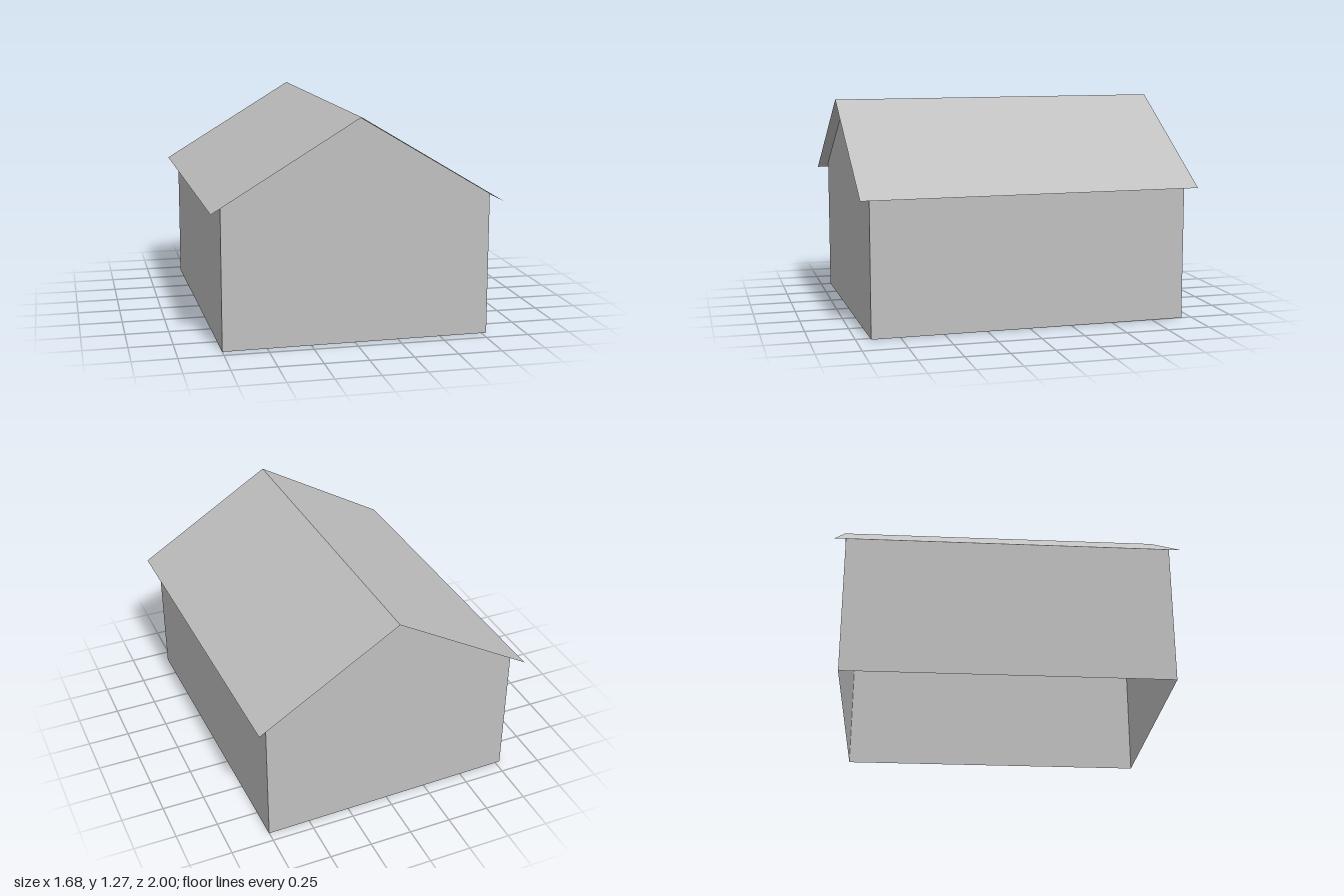
import * as THREE from 'three';

// half sizes and heights of the house
const WALL_X = 0.765, WALL_Z = 0.927, WALL_H = 0.815;
const ROOF_X = 0.825, ROOF_Z = 0.987, EAVE = 0.78, RIDGE = 1.275;

export function createModel() {
  const house = new THREE.Group();
  house.name = 'house';
  const grey = new THREE.MeshStandardMaterial({ color: 0xc0c0c0, side: THREE.DoubleSide });
  grey.name = 'plain grey';

  const add = (name, geometry) => {
    const mesh = new THREE.Mesh(geometry, grey);
    mesh.name = name;
    house.add(mesh);
    return mesh;
  };

  // gable walls at the front and back
  const gable = new THREE.Shape([
    new THREE.Vector2(-WALL_X, 0), new THREE.Vector2(WALL_X, 0),
    new THREE.Vector2(WALL_X, WALL_H), new THREE.Vector2(0, RIDGE - 0.002),
    new THREE.Vector2(-WALL_X, WALL_H),
  ]);
  for (const [name, side] of [['frontWall', 1], ['backWall', -1]]) {
    const wall = add(name, new THREE.ShapeGeometry(gable));
    wall.position.z = side * WALL_Z;
    if (side < 0) wall.rotation.y = Math.PI;
  }

  // side walls and sloping roof sheets, mirrored
  const slope = Math.hypot(ROOF_X, RIDGE - EAVE);
  const pitch = Math.atan2(RIDGE - EAVE, ROOF_X);
  for (const [name, side] of [['left', 1], ['right', -1]]) {
    const wall = add(name + 'Wall', new THREE.PlaneGeometry(2 * WALL_Z, WALL_H));
    wall.position.set(side * WALL_X, WALL_H / 2, 0);
    wall.rotation.y = side * Math.PI / 2;

    const sheet = new THREE.PlaneGeometry(slope, 2 * ROOF_Z).rotateX(-Math.PI / 2);
    const roof = add(name + 'Roof', sheet);
    roof.position.set(side * ROOF_X / 2, (EAVE + RIDGE) / 2, 0);
    roof.rotation.z = -side * pitch;
  }

  // flat ceiling, seen from the open underside
  const ceiling = add('ceiling', new THREE.PlaneGeometry(2 * WALL_X, 2 * WALL_Z));
  ceiling.rotation.x = Math.PI / 2;
  ceiling.position.y = WALL_H - 0.005;

  // the house stands slightly turned
  house.rotation.y = 0.0148;
  const model = new THREE.Group();
  model.name = 'model';
  model.add(house);
  return model;
}
